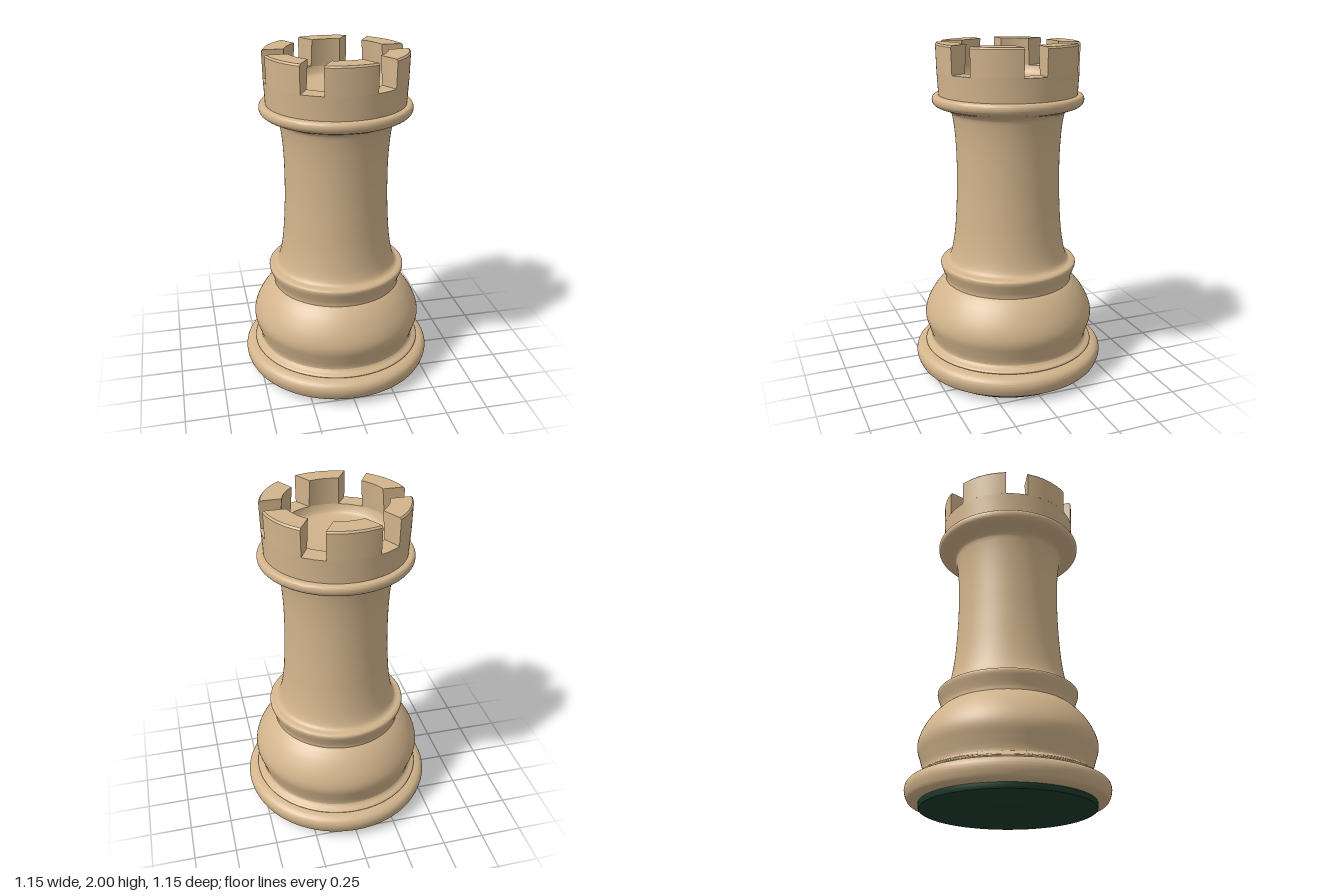
import * as THREE from 'three';
import { toCreasedNormals, mergeVertices } from 'three/addons/utils/BufferGeometryUtils.js';

const wood = new THREE.MeshStandardMaterial({ color: 0xd2b48c });
const felt = new THREE.MeshStandardMaterial({ color: 0x1c3a2a });
const SEGMENTS = 96;
const NOTCHES = 6;
const HALF_NOTCH = 0.067;
const NOTCH_Y = 1.84;
const TOP_Y = 2;

const toPoints = (pairs) => pairs.map(([r, y]) => new THREE.Vector2(r, y));
const curved = (pairs, n = 28) => new THREE.SplineCurve(toPoints(pairs)).getPoints(n)
  .map((p) => new THREE.Vector2(Math.max(p.x, 0), p.y));

// Turned part: a profile of (radius, height) spun about y
function turned(name, points, material = wood) {
  const geometry = toCreasedNormals(new THREE.LatheGeometry(points, SEGMENTS), 0.6);
  const mesh = new THREE.Mesh(geometry, material);
  mesh.name = name;
  return mesh;
}

// One battlement block: a ring sector whose sides run parallel to the notches
function battlementGeometry() {
  const outer = 0.415, inner = 0.29, step = (Math.PI * 2) / NOTCHES;
  const shape = new THREE.Shape();
  const a = Math.asin(HALF_NOTCH / outer), b = Math.asin(HALF_NOTCH / inner);
  shape.absarc(0, 0, outer, a, step - a, false);
  shape.absarc(0, 0, inner, step - b, b, true);
  shape.closePath();
  const geometry = new THREE.ExtrudeGeometry(shape, {
    depth: TOP_Y - NOTCH_Y, steps: 16, bevelEnabled: false, curveSegments: 20,
  });
  geometry.rotateX(-Math.PI / 2);
  geometry.translate(0, NOTCH_Y, 0);
  // Round off the outer top edge and undercut the inner wall
  const p = geometry.attributes.position;
  for (let i = 0; i < p.count; i++) {
    const r = Math.hypot(p.getX(i), p.getZ(i));
    const t = (p.getY(i) - NOTCH_Y) / (TOP_Y - NOTCH_Y);
    const edge = Math.max(0, (t - 0.93) / 0.07);
    const target = r > 0.35 ? 0.411 + 0.004 * t - 0.009 * edge * edge : 0.304 - 0.014 * t;
    p.setX(i, (p.getX(i) * target) / r);
    p.setZ(i, (p.getZ(i) * target) / r);
  }
  geometry.deleteAttribute('normal');
  geometry.deleteAttribute('uv');
  return toCreasedNormals(mergeVertices(geometry, 1e-5), 0.6);
}

export function createModel() {
  const model = new THREE.Group();
  model.name = 'rook';

  model.add(turned('feltPad', toPoints([
    [0, 0], [0.485, 0], [0.494, 0.004], [0.498, 0.012], [0.498, 0.038],
  ]), felt));

  model.add(turned('baseRing', [
    ...toPoints([[0, 0.036]]),
    ...curved([[0.535, 0.036], [0.558, 0.047], [0.573, 0.08], [0.577, 0.11], [0.568, 0.137], [0.545, 0.154], [0.51, 0.163]]),
  ]));

  model.add(turned('baseFillet', curved([
    [0.5, 0.16], [0.516, 0.167], [0.515, 0.176], [0.5, 0.184], [0.487, 0.192], [0.479, 0.203],
  ], 20)));

  model.add(turned('bulb', curved([
    [0.479, 0.2], [0.481, 0.225], [0.498, 0.28], [0.514, 0.335], [0.512, 0.385],
    [0.49, 0.445], [0.45, 0.51], [0.41, 0.555], [0.385, 0.576],
  ], 36)));

  model.add(turned('lowerCollar', curved([
    [0.385, 0.573], [0.388, 0.6], [0.4, 0.635], [0.411, 0.665], [0.412, 0.684], [0.402, 0.693], [0.38, 0.698],
  ])));

  model.add(turned('shaft', curved([
    [0.385, 0.696], [0.366, 0.706], [0.351, 0.735], [0.335, 0.8], [0.319, 0.92], [0.308, 1.1], [0.305, 1.25],
    [0.307, 1.38], [0.314, 1.49], [0.323, 1.56], [0.332, 1.598], [0.35, 1.616],
  ], 60)));

  model.add(turned('upperCollar', curved([
    [0.345, 1.612], [0.375, 1.626], [0.415, 1.64], [0.436, 1.657], [0.442, 1.678], [0.437, 1.697], [0.425, 1.705], [0.4, 1.706],
  ])));

  // Solid lower crown, with the notch floor on top and the hollow dish inside
  model.add(turned('crown', [
    ...toPoints([[0.404, 1.7], [0.406, 1.75], [0.411, NOTCH_Y], [0.304, NOTCH_Y]]),
    ...curved([[0.299, 1.815], [0.283, 1.79], [0.24, 1.776], [0.14, 1.765], [0, 1.76]], 20),
  ]));

  const battlements = new THREE.Group();
  battlements.name = 'battlements';
  const geometry = battlementGeometry();
  for (let i = 0; i < NOTCHES; i++) {
    const block = new THREE.Mesh(geometry, wood);
    block.name = 'battlement';
    block.rotation.y = (i * Math.PI * 2) / NOTCHES;
    battlements.add(block);
  }
  model.add(battlements);
  return model;
}
